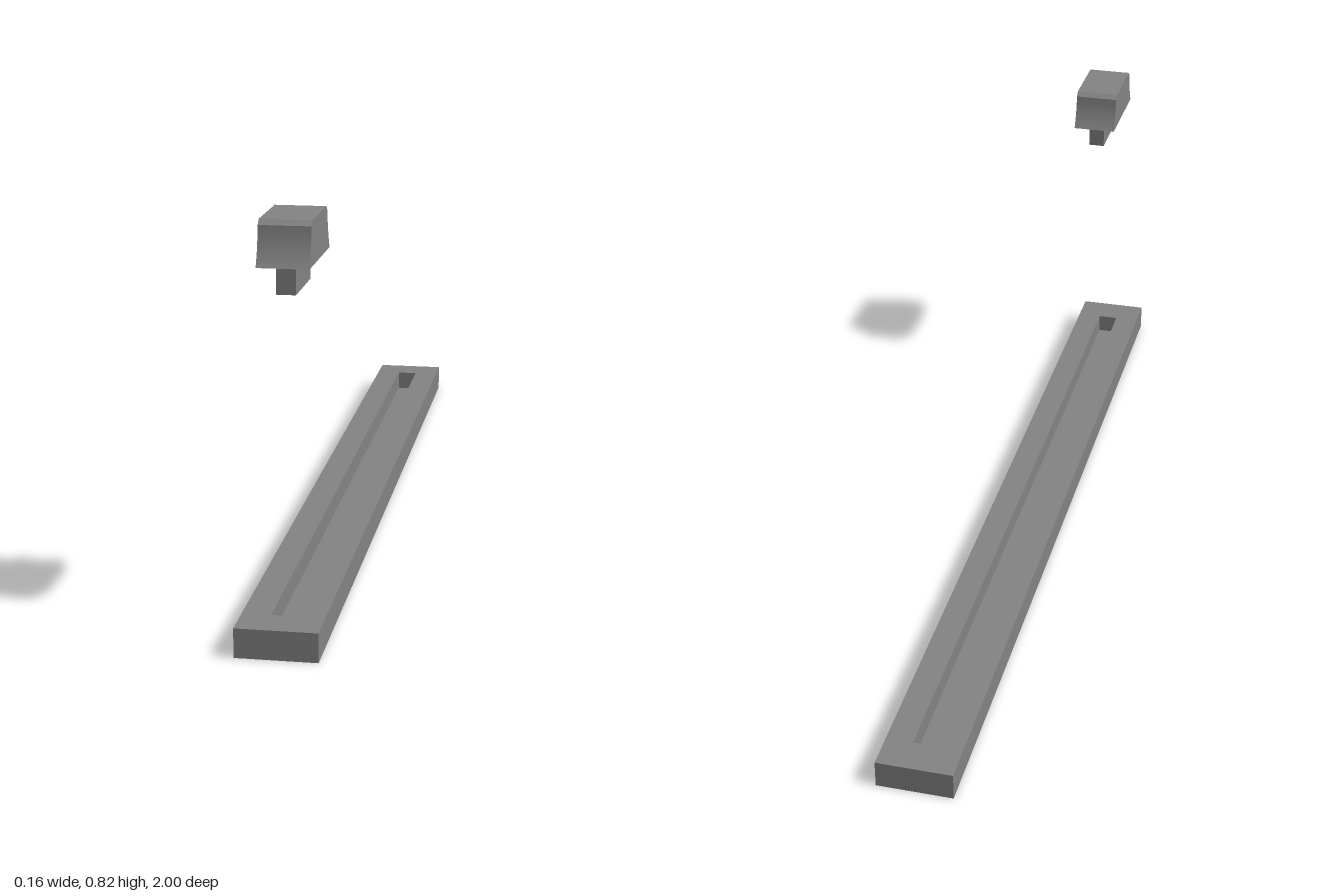
import * as THREE from 'three';
import { toCreasedNormals } from 'three/addons/utils/BufferGeometryUtils.js';

const material = new THREE.MeshStandardMaterial({ color: 0x848484 });

function addPart(parent, name, geometry, x = 0, y = 0, z = 0) {
  const mesh = new THREE.Mesh(geometry, material);
  mesh.name = name;
  mesh.position.set(x, y, z);
  parent.add(mesh);
}

function rectangle(PathType, x, y0, y1) {
  const path = new PathType();
  path.moveTo(-x, y0).lineTo(x, y0).lineTo(x, y1).lineTo(-x, y1).closePath();
  return path;
}

export function createModel() {
  const model = new THREE.Group();
  model.name = 'slider';

  // Long track with a blind slot along its top
  const track = new THREE.Group();
  track.name = 'track';
  model.add(track);
  const height = 0.06, slotFloor = 0.015;
  const outline = rectangle(THREE.Shape, 0.082, -1, 1);
  outline.holes.push(rectangle(THREE.Path, 0.024, -0.923, 0.923));
  const frame = new THREE.ExtrudeGeometry(outline, { depth: height, bevelEnabled: false });
  frame.rotateX(-Math.PI / 2);
  addPart(track, 'trackFrame', frame);
  addPart(track, 'slotFloor', new THREE.BoxGeometry(0.048, slotFloor, 1.846), 0, slotFloor / 2, 0);

  // Knob floating above the front end of the track
  const knob = new THREE.Group();
  knob.name = 'knob';
  knob.position.set(0, 0.68, 0.79);
  model.add(knob);

  // Cap: side profile with flared concave flanks and chamfered top edges
  const stemHeight = 0.057, capHeight = 0.087, halfWidth = 0.051;
  const profile = new THREE.Shape();
  profile.moveTo(-0.111, 0);
  profile.lineTo(0.111, 0);
  profile.quadraticCurveTo(0.09, 0.035, 0.087, 0.077);
  profile.lineTo(0.077, capHeight);
  profile.lineTo(-0.077, capHeight);
  profile.lineTo(-0.087, 0.077);
  profile.quadraticCurveTo(-0.09, 0.035, -0.111, 0);
  const cap = new THREE.ExtrudeGeometry(profile, {
    depth: halfWidth * 2, bevelEnabled: false, curveSegments: 10,
  });
  cap.translate(0, 0, -halfWidth).rotateY(Math.PI / 2);
  addPart(knob, 'knobCap', toCreasedNormals(cap, 0.35), 0, stemHeight, 0);

  // Stem that fits the slot
  addPart(knob, 'knobStem', new THREE.BoxGeometry(0.038, stemHeight, 0.155), 0, stemHeight / 2, 0);

  return model;
}
